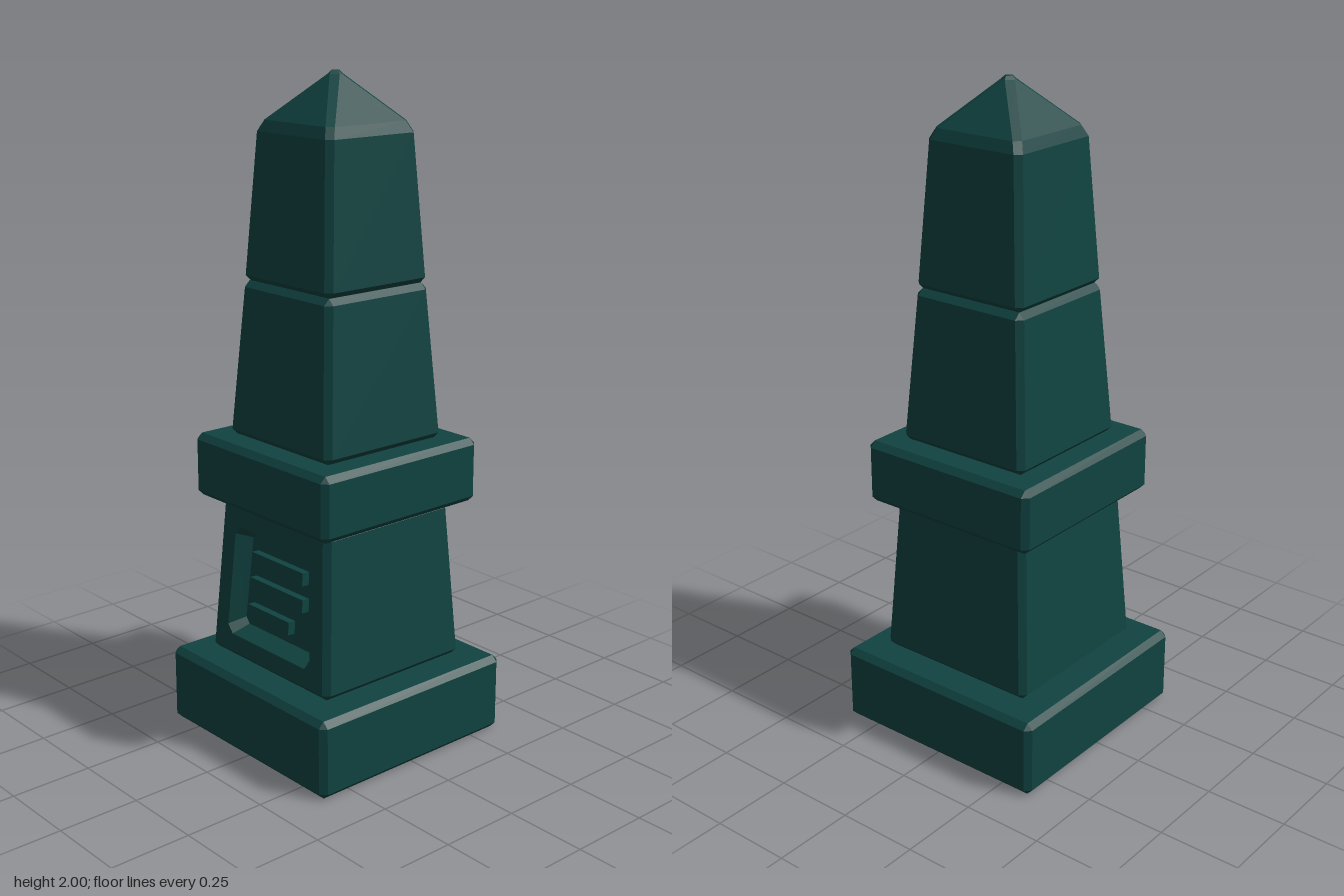
import * as THREE from 'three';

const stone = new THREE.MeshStandardMaterial({ color: 0x104341 });
stone.name = 'dark teal stone';

// Square ring with cut corners at height y, counter-clockwise from above
function ring(y, h, c) {
  const i = h - c;
  return [[h, i], [h, -i], [i, -h], [-i, -h], [-h, -i], [-h, i], [-i, h], [i, h]]
    .map(([x, z]) => new THREE.Vector3(x, y, z)).map((p, k, a) => a[(9 - k) % 8]).reverse();
}

// Flat-faced skin through the rings; skip(level, side) leaves a face out
function loft(rings, { startCap = true, skip = () => false } = {}) {
  const pos = [];
  const tri = (a, b, c) => {
    const area = b.clone().sub(a).cross(c.clone().sub(a)).length();
    if (area > 1e-9) for (const p of [a, b, c]) pos.push(p.x, p.y, p.z);
  };
  for (let r = 0; r + 1 < rings.length; r++) {
    const a = rings[r], b = rings[r + 1], n = a.length;
    for (let j = 0; j < n; j++) {
      const k = (j + 1) % n;
      if (skip(r, a[j], a[k])) continue;
      tri(a[j], a[k], b[k]);
      tri(a[j], b[k], b[j]);
    }
  }
  const first = rings[0], last = rings[rings.length - 1];
  for (let j = 1; j + 1 < last.length; j++) {
    tri(last[0], last[j], last[j + 1]);
    if (startCap) tri(first[0], first[j + 1], first[j]);
  }
  const g = new THREE.BufferGeometry();
  g.setAttribute('position', new THREE.Float32BufferAttribute(pos, 3));
  g.computeVertexNormals();
  return g;
}

// Bevelled, tapering block: y range and half widths at bottom and top
const C = 0.018;
function blockRings(y0, y1, h0, h1) {
  return [ring(y0, h0 - C, 0), ring(y0 + C, h0, C), ring(y1 - C, h1, C), ring(y1, h1 - C, 0)];
}

export function createModel() {
  const group = new THREE.Group();
  const add = (name, geometry) => {
    const mesh = new THREE.Mesh(geometry, stone);
    mesh.name = name;
    group.add(mesh);
    return mesh;
  };

  // Plain blocks
  add('base', loft(blockRings(0, 0.24, 0.36, 0.36)));
  add('band', loft(blockRings(0.74, 0.935, 0.3, 0.3)));
  add('lowerShaft', loft(blockRings(0.935, 1.4, 0.225, 0.194)));

  // Upper shaft with its pyramid cap
  add('upperShaft', loft([
    ring(1.4, 0.174, 0), ring(1.417, 0.192, C), ring(1.83, 0.165, C),
    ring(1.862, 0.15, C), ring(1.99, 0.024, 0.02), ring(2, 0.014, 0.014),
  ]));

  // Pedestal body, front face left open
  const y0 = 0.245, y1 = 0.737, h0 = 0.271, h1 = 0.242;
  const isFront = (r, a, b) => r === 1 && a.z > 0.2 && b.z > 0.2 && Math.abs(a.z - b.z) < 1e-6;
  add('pedestal', loft(blockRings(y0, y1, h0, h1), { skip: isFront }));

  // Sloping front plane of the pedestal
  const lo = y0 + C, hi = y1 - C;
  const slope = (h1 - h0) / (hi - lo);
  const frontZ = (y) => h0 + (y - lo) * slope;

  // Trapezoid panel outline with cut corners, counter-clockwise from the front
  const panel = (bottom, top, wb, wt, cut, depth) => {
    const s = (wt - wb) / (top - bottom) * cut;
    return [[wb - cut, bottom], [wb + s, bottom + cut], [wt - s, top - cut], [wt - cut, top],
      [cut - wt, top], [s - wt, top - cut], [-wb - s, bottom + cut], [cut - wb, bottom]]
      .map(([x, y]) => new THREE.Vector3(x, y, frontZ(y) - depth));
  };
  const rim = panel(0.318, 0.662, 0.194, 0.17, 0.025, 0);
  const floor = panel(0.342, 0.637, 0.168, 0.146, 0.018, 0.05);

  // Front face with the panel opening
  const shape = new THREE.Shape([[C - h0, lo], [h0 - C, lo], [h1 - C, hi], [C - h1, hi]]
    .map(([x, y]) => new THREE.Vector2(x, y)));
  shape.holes.push(new THREE.Path(rim.map((p) => new THREE.Vector2(p.x, p.y))));
  const face = new THREE.ShapeGeometry(shape);
  const p = face.attributes.position;
  for (let i = 0; i < p.count; i++) p.setZ(i, frontZ(p.getY(i)));
  face.computeVertexNormals();
  add('pedestalFront', face);

  // Recess walls and floor
  add('panelRecess', loft([rim, floor], { startCap: false }));

  // Raised bars on the recess floor
  for (const [x0, x1, y] of [[-0.12, 0.115, 0.566], [-0.125, 0.12, 0.485], [-0.13, 0.062, 0.398]]) {
    const bar = add('panelBar', new THREE.BoxGeometry(x1 - x0, 0.04, 0.04));
    bar.position.set((x0 + x1) / 2, y, frontZ(y) - 0.045);
    bar.rotation.x = Math.atan(slope);
  }
  return group;
}
